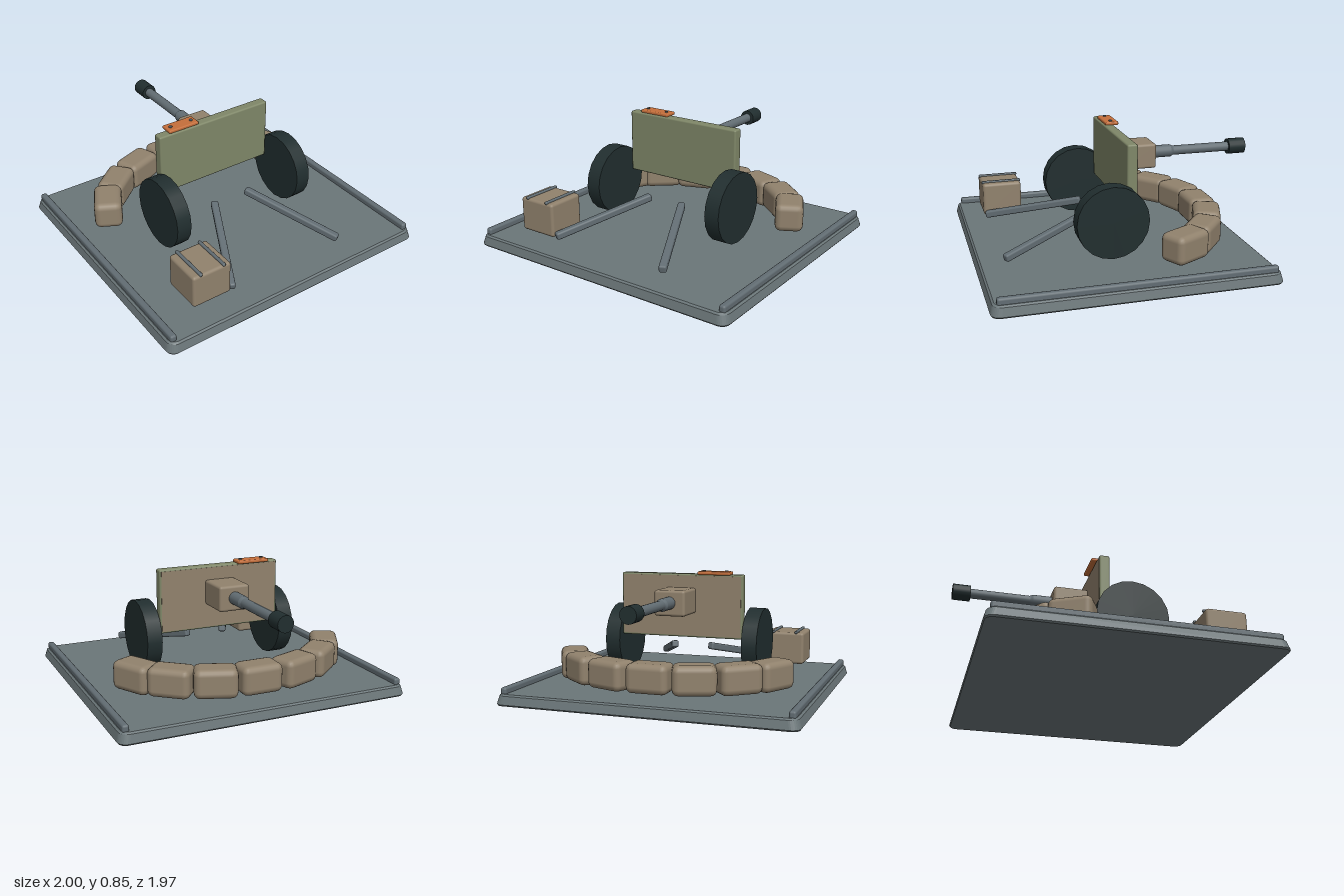
import * as THREE from 'three';
import { RoundedBoxGeometry } from 'three/addons/geometries/RoundedBoxGeometry.js';

const material = (name, color) => {
  const m = new THREE.MeshStandardMaterial({ color });
  m.name = name;
  return m;
};

export function createModel() {
  const slate = material('slate base', 0x6b7679);
  const steel = material('steel', 0x626d73);
  const tan = material('tan canvas', 0x91826d);
  const green = material('olive green', 0x7f8768);
  const dark = material('dark rubber', 0x212e2f);
  const orange = material('orange', 0xc56f3b);

  const model = new THREE.Group();
  model.name = 'fieldGun';

  const add = (name, geometry, mat, x, y, z, parent = model) => {
    const mesh = new THREE.Mesh(geometry, mat);
    mesh.name = name;
    mesh.position.set(x, y, z);
    parent.add(mesh);
    return mesh;
  };
  const box = (name, mat, [w, h, d], [x, y, z], r, parent) =>
    add(name, new RoundedBoxGeometry(w, h, d, 2, r), mat, x, y, z, parent);

  // Base slab: rounded rectangle with a small bevel, drawn in slightly towards the top
  const hw = 0.99, hd = 0.917, r = 0.05;
  const outline = new THREE.Shape();
  outline.moveTo(-hw + r, -hd);
  outline.absarc(hw - r, -hd + r, r, -Math.PI / 2, 0);
  outline.absarc(hw - r, hd - r, r, 0, Math.PI / 2);
  outline.absarc(-hw + r, hd - r, r, Math.PI / 2, Math.PI);
  outline.absarc(-hw + r, -hd + r, r, Math.PI, Math.PI * 1.5);
  const slab = new THREE.ExtrudeGeometry(outline, {
    depth: 0.055, bevelThickness: 0.01, bevelSize: 0.01, bevelSegments: 1, curveSegments: 4,
  });
  slab.rotateX(-Math.PI / 2).translate(0, 0.01, 0);
  const p = slab.attributes.position;
  for (let i = 0; i < p.count; i++) {
    const inset = 0.25 * p.getY(i);
    p.setX(i, p.getX(i) - Math.sign(p.getX(i)) * inset);
    p.setZ(i, p.getZ(i) - Math.sign(p.getZ(i)) * inset);
  }
  slab.computeVertexNormals();
  add('base', slab, slate, 0, 0, 0.055);

  // Mirrored parts: side rails, wheels and trail legs
  for (const [side, s] of [['left', 1], ['right', -1]]) {
    box(side + 'Rail', steel, [0.044, 0.05, 1.775], [s * 0.946, 0.09, 0.053], 0.015);

    const tyre = new THREE.CylinderGeometry(0.241, 0.241, 0.105, 20).rotateZ(Math.PI / 2);
    add(side + 'Wheel', tyre, dark, s * 0.492, 0.343, 0.125);

    const a = new THREE.Vector3(s * 0.132, 0.293, 0.18);
    const b = new THREE.Vector3(s * 0.437, 0.14, 0.81);
    const mid = a.clone().add(b).multiplyScalar(0.5);
    const leg = box(side + 'TrailLeg', steel, [0.05, 0.05, a.distanceTo(b)], mid.toArray(), 0.013);
    leg.lookAt(b);
  }

  // Gun shield, olive with a tan rear face
  box('shield', green, [0.87, 0.435, 0.07], [0, 0.603, -0.031], 0.012);
  add('shieldRearPanel', new THREE.BoxGeometry(0.846, 0.411, 0.004), tan, 0, 0.603, -0.066);

  // Gun: breech housing, sleeve, barrel and muzzle along -z
  const gun = new THREE.Group();
  gun.name = 'gun';
  gun.position.y = 0.643;
  model.add(gun);
  box('breechHousing', tan, [0.215, 0.172, 0.245], [0, -0.003, -0.18], 0.018, gun);
  const tube = (name, mat, rNear, rFar, z0, z1) =>
    add(name, new THREE.CylinderGeometry(rFar, rNear, z0 - z1, 16).rotateX(-Math.PI / 2),
      mat, 0, 0, (z0 + z1) / 2, gun);
  tube('barrelSleeve', steel, 0.043, 0.043, -0.29, -0.435);
  tube('sleeveTaper', steel, 0.043, 0.033, -0.435, -0.455);
  tube('barrel', steel, 0.033, 0.033, -0.45, -0.88);
  tube('muzzle', dark, 0.055, 0.055, -0.866, -0.987);

  // Orange plate with two bolts on top of the shield
  box('markerPlate', orange, [0.228, 0.024, 0.094], [-0.24, 0.829, -0.053], 0.009);
  for (const x of [-0.32, -0.162])
    add('plateBolt', new THREE.CylinderGeometry(0.012, 0.012, 0.014, 10), steel, x, 0.841, -0.05);

  // Ammunition crate with two straps
  const crate = new THREE.Group();
  crate.name = 'ammunitionCrate';
  crate.position.set(-0.59, 0.243, 0.685);
  model.add(crate);
  box('crateBody', tan, [0.278, 0.232, 0.276], [0, 0, 0], 0.02, crate);
  for (const x of [-0.082, 0.086])
    box('crateStrap', steel, [0.022, 0.02, 0.282], [x, 0.118, 0], 0.008, crate);

  // Arc of sandbags: x, z and turn in degrees, mirrored
  const bags = [[0, -0.645, 0], [0.28, -0.61, 20], [0.525, -0.485, 40], [0.69, -0.305, 62]];
  for (const [x, z, turn] of bags)
    for (const s of x ? [1, -1] : [1]) {
      const bag = box('sandbag', tan, [0.28, 0.192, 0.19], [s * x, 0.211, z], 0.042);
      bag.rotation.y = -s * THREE.MathUtils.degToRad(turn);
    }

  return model;
}
